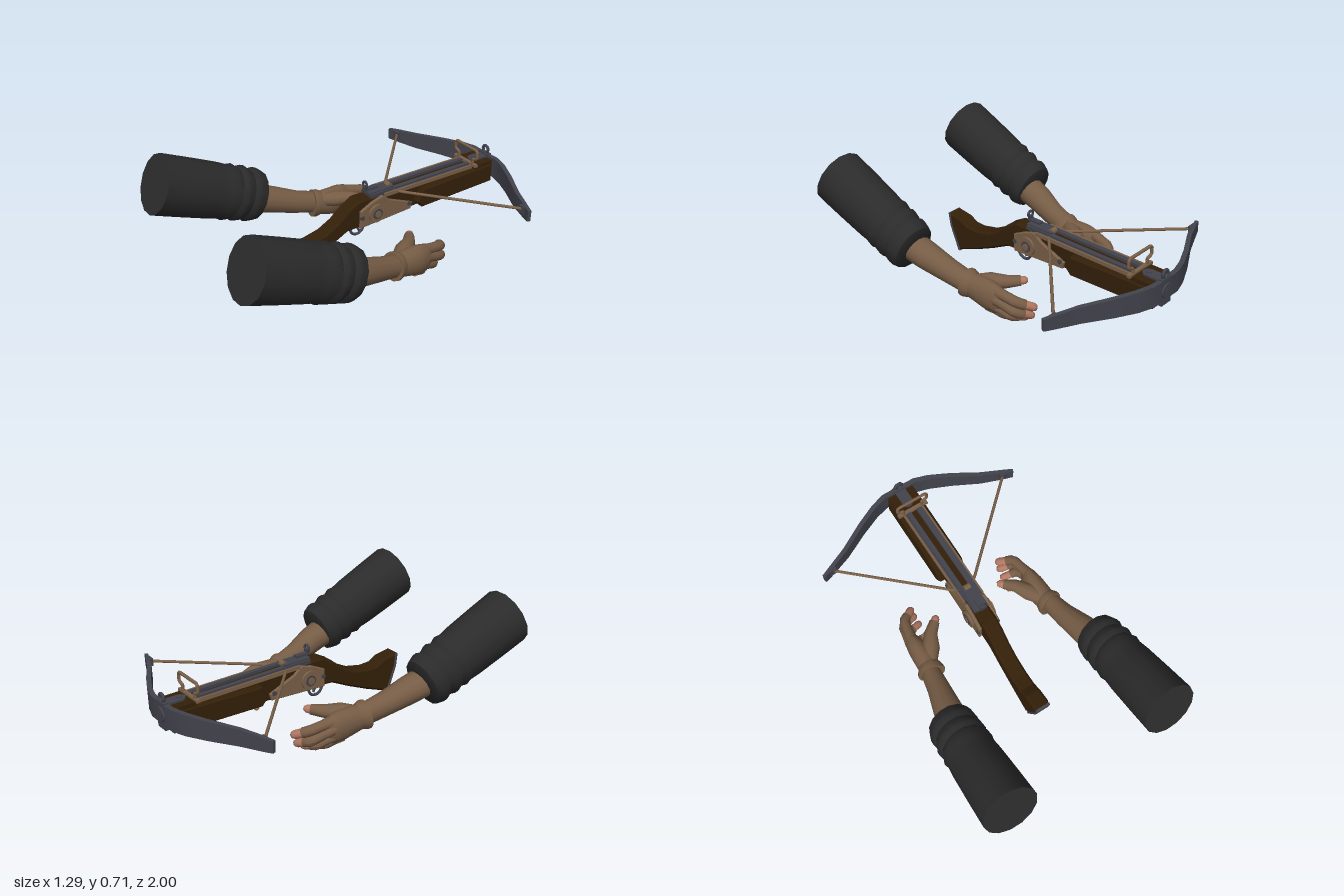
import * as THREE from 'three';
import { toCreasedNormals } from 'three/addons/utils/BufferGeometryUtils.js';

const V = (x, y, z) => new THREE.Vector3(x, y, z);

// Capped tube through sections [x, y, z, halfWidth, halfHeight]
function loft(sections, sides = 12, crease = 0.8) {
  const pos = [], idx = [], n = sections.length;
  const pts = sections.map((s) => V(s[0], s[1], s[2]));
  const turn = sides === 4 ? Math.PI / 4 : 0, grow = sides === 4 ? Math.SQRT2 : 1;
  pts.forEach((p, i) => {
    const t = pts[Math.min(i + 1, n - 1)].clone().sub(pts[Math.max(i - 1, 0)]).normalize();
    const side = V(0, 1, 0).cross(t).normalize(), up = t.clone().cross(side);
    for (let j = 0; j < sides; j++) {
      const a = turn + (j / sides) * Math.PI * 2;
      pos.push(...p.clone()
        .addScaledVector(side, Math.cos(a) * sections[i][3] * grow)
        .addScaledVector(up, Math.sin(a) * sections[i][4] * grow).toArray());
    }
  });
  pos.push(...pts[0].toArray(), ...pts[n - 1].toArray());
  const last = (n - 1) * sides, c0 = n * sides;
  for (let j = 0; j < sides; j++) {
    const k = (j + 1) % sides;
    for (let i = 0; i < n - 1; i++) {
      const a = i * sides, b = a + sides;
      idx.push(a + j, a + k, b + k, a + j, b + k, b + j);
    }
    idx.push(c0, k, j, c0 + 1, last + j, last + k);
  }
  const g = new THREE.BufferGeometry();
  g.setAttribute('position', new THREE.Float32BufferAttribute(pos, 3));
  g.setIndex(idx);
  return toCreasedNormals(g, crease);
}

// Side profile of [z, y] points, extruded across x
function profile(points, width, bevel = 0.008) {
  const g = new THREE.ExtrudeGeometry(new THREE.Shape(points.map((p) => new THREE.Vector2(...p))), {
    depth: width - 2 * bevel, bevelEnabled: true, bevelSize: bevel, bevelThickness: bevel,
    bevelOffset: -bevel, bevelSegments: 1,
  });
  return g.translate(0, 0, bevel - width / 2).rotateY(-Math.PI / 2);
}

const box = (w, h, d, x, y, z) => new THREE.BoxGeometry(w, h, d).translate(x, y, z);

// Round bar along straight runs between points
function bar(points, r) {
  const path = new THREE.CurvePath();
  const v = points.map((p) => V(...p));
  for (let i = 0; i < v.length - 1; i++) path.add(new THREE.LineCurve3(v[i], v[i + 1]));
  return new THREE.TubeGeometry(path, (v.length - 1) * 8, r, 8, false);
}

export function createModel() {
  const mat = (name, color) => new THREE.MeshStandardMaterial({ name, color });
  const cloth = mat('sleeveCloth', 0x2b2b2b), leather = mat('leather', 0x765c45);
  const skin = mat('skin', 0xb47a64), wood = mat('wood', 0x342009);
  const metal = mat('steel', 0x42434c), tan = mat('bronze', 0x7a6048);
  const model = new THREE.Group();
  const add = (parent, name, geometry, material) => {
    const m = new THREE.Mesh(geometry, material);
    m.name = name;
    parent.add(m);
    return m;
  };

  // Arms: s mirrors x
  function arm(name, s, dy, dz) {
    const g = new THREE.Group();
    g.name = name;
    const part = (label, rows, material, sides) =>
      add(g, label, loft(rows.map(([x, y, z, a, b]) => [s * x, y, z, a, b]), sides), material);

    // Sleeve with gathered folds towards the cuff
    const folds = [[0, 0.108], [0.012, 0.125], [0.07, 0.137], [0.11, 0.139], [0.145, 0.128], [0.2, 0.142],
      [0.235, 0.143], [0.27, 0.132], [0.33, 0.146], [0.38, 0.139], [0.48, 0.145], [0.75, 0.152], [1, 0.157]];
    part('sleeve', folds.map(([t, r]) =>
      [0.478 + 0.012 * t, 0.287 + 0.242 * t, 0.328 + 0.607 * t, r, r * (1.14 - 0.06 * t)]), cloth, 14);
    part('forearm', [[0.455, 0.28, 0.35, 0.085, 0.08], [0.445, 0.255, 0.26, 0.081, 0.077],
      [0.418, 0.207, 0.12, 0.064, 0.068], [0.4, 0.175, -0.01, 0.054, 0.064]], leather, 14);

    // Fingerless glove
    part('gloveCuff', [[0.398, 0.174, 0.014, 0.078, 0.081], [0.394, 0.171, -0.006, 0.077, 0.083],
      [0.388, 0.166, -0.032, 0.064, 0.074]], leather, 14);
    part('palm', [[0.392, 0.168, -0.02, 0.06, 0.07], [0.386, 0.162, -0.08, 0.064, 0.08],
      [0.388, 0.155, -0.15, 0.058, 0.09], [0.39, 0.15, -0.21, 0.045, 0.084],
      [0.388, 0.148, -0.243, 0.026, 0.064]], leather, 14);
    part('thumbBase', [[0.38, 0.185, -0.03, 0.035, 0.04], [0.33, 0.198, -0.11, 0.052, 0.047],
      [0.283, 0.203, -0.183, 0.037, 0.036], [0.23, 0.205, -0.228, 0.029, 0.029]], leather, 10);
    part('thumbTip', [[0.235, 0.205, -0.225, 0.025, 0.025], [0.212, 0.206, -0.243, 0.022, 0.022],
      [0.2, 0.206, -0.25, 0.011, 0.011]], skin, 10);

    // Curled fingers: knuckle, middle joint, tip
    const fingers = {
      index: [V(0.392, 0.2, -0.2), V(0.37, 0.175, -0.335), V(0.285, 0.13, -0.395), 0.028],
      middle: [V(0.405, 0.162, -0.2), V(0.38, 0.12, -0.335), V(0.28, 0.072, -0.37), 0.028],
      ring: [V(0.405, 0.12, -0.18), V(0.373, 0.078, -0.295), V(0.275, 0.042, -0.325), 0.026],
      little: [V(0.395, 0.09, -0.14), V(0.352, 0.047, -0.23), V(0.268, 0.025, -0.25), 0.0235],
    };
    for (const [label, [a, b, c, r]] of Object.entries(fingers)) {
      const at = (p, q, t, k) => [...p.clone().lerp(q, t).toArray(), r * k, r * k];
      part(label + 'FingerGlove', [at(a, b, 0, 1.2), at(a, b, 0.5, 1.05), at(a, b, 0.88, 1.08),
        at(b, c, 0.12, 1.05), at(b, c, 0.38, 1)], leather, 10);
      part(label + 'Fingertip', [at(b, c, 0.35, 0.88), at(b, c, 0.8, 0.85), at(b, c, 0.94, 0.65),
        at(b, c, 1, 0.3)], skin, 10);
    }
    g.position.set(0, dy, dz);
    model.add(g);
  }
  arm('leftArm', 1, 0, 0);
  arm('rightArm', -1, 0.035, -0.008);

  // Crossbow, rolled slightly about its long axis
  const bow = new THREE.Group();
  bow.name = 'crossbow';
  const roll = -0.03, axis = 0.37;
  bow.rotation.z = roll;
  bow.position.set(axis * Math.sin(roll), axis * (1 - Math.cos(roll)), 0);
  model.add(bow);

  // Wooden stock, butt plate and wide fore-end
  add(bow, 'stock', profile([[-0.96, 0.4], [-0.02, 0.405], [0.05, 0.365], [0.12, 0.305], [0.2, 0.262],
    [0.3, 0.24], [0.37, 0.242], [0.42, 0.27], [0.515, 0.282], [0.505, 0.2], [0.447, 0.055], [0.3, 0.112],
    [0.17, 0.17], [0.05, 0.23], [-0.3, 0.25], [-0.96, 0.28]].reverse(), 0.092, 0.012), wood);
  add(bow, 'buttPlate', profile([[0.445, 0.05], [0.459, 0.05], [0.516, 0.198], [0.527, 0.275],
    [0.513, 0.283], [0.502, 0.2]], 0.086, 0.003), metal);
  add(bow, 'foreEnd', profile([[-0.965, 0.275], [-0.44, 0.257], [-0.4, 0.3], [-0.44, 0.372],
    [-0.965, 0.392]], 0.172), wood);
  add(bow, 'frontBlock', box(0.16, 0.03, 0.13, 0, 0.395, -0.895), wood);

  // Bolt rails, lock and rear sight
  for (const s of [-1, 1]) {
    add(bow, 'rail', box(0.026, 0.03, 0.72, s * 0.031, 0.403, -0.46), metal);
    add(bow, 'railEdge', box(0.01, 0.02, 0.62, s * 0.05, 0.4, -0.5), metal);
  }
  add(bow, 'lock', box(0.07, 0.026, 0.17, 0, 0.413, -0.18), metal);
  add(bow, 'nut', new THREE.CylinderGeometry(0.018, 0.018, 0.036, 12).rotateZ(Math.PI / 2).translate(0, 0.42, -0.25), tan);
  add(bow, 'sightBase', box(0.03, 0.012, 0.085, 0, 0.438, -0.125), metal);
  add(bow, 'sightPost', box(0.03, 0.03, 0.014, 0, 0.445, -0.09), metal);
  add(bow, 'sightRing', new THREE.TorusGeometry(0.018, 0.007, 8, 18).translate(0, 0.468, -0.09), metal);

  // Side plates with round pivots and rivets
  const plate = [[-0.02, 0.24], [-0.37, 0.262], [-0.38, 0.3], [-0.22, 0.365], [-0.17, 0.405], [-0.1, 0.385],
    [-0.02, 0.345]].reverse();
  for (const s of [-1, 1]) {
    add(bow, 'sidePlate', profile(plate, 0.02, 0.004).translate(s * 0.056, 0, 0), tan);
    const disc = (name, r, h, x, y, z, m) =>
      add(bow, name, new THREE.CylinderGeometry(r, r, h, 20).rotateZ(Math.PI / 2).translate(s * x, y, z), m);
    disc('pivotDisc', 0.054, 0.016, 0.071, 0.31, -0.125, tan);
    disc('pivotRing', 0.031, 0.016, 0.076, 0.31, -0.125, metal);
    disc('pivotBolt', 0.02, 0.016, 0.081, 0.31, -0.125, tan);
    disc('rivet', 0.013, 0.01, 0.066, 0.305, -0.03, metal);
    disc('rivet', 0.013, 0.01, 0.066, 0.3, -0.355, metal);
    add(bow, 'leverBar', box(0.01, 0.022, 0.64, s * 0.06, 0.402, -0.5), tan);
  }

  // Folding loop above the fore-end
  const z = -0.825;
  add(bow, 'loop', bar([[-0.06, 0.4, z], [-0.06, 0.448, z], [-0.088, 0.456, z], [-0.095, 0.466, z],
    [-0.095, 0.5, z], [-0.083, 0.511, z], [0.083, 0.511, z], [0.095, 0.5, z], [0.095, 0.466, z],
    [0.088, 0.456, z], [0.06, 0.448, z], [0.06, 0.4, z]], 0.009), tan);
  add(bow, 'loopBase', box(0.19, 0.016, 0.022, 0, 0.413, z), tan);

  // Steel bow: half profile [x, z, half thickness, half height], mirrored
  const limb = [[0, -0.978, 0.014, 0.056], [0.1, -0.975, 0.014, 0.06], [0.18, -0.951, 0.013, 0.059],
    [0.3, -0.895, 0.013, 0.053], [0.45, -0.812, 0.012, 0.046], [0.57, -0.762, 0.011, 0.038], [0.63, -0.738, 0.01, 0.032]];
  const rows = [...limb.slice(1).reverse().map(([x, ...r]) => [-x, ...r]), ...limb];
  add(bow, 'bowLimbs', loft(rows.map(([x, zz, a, b]) => [x, 0.365, zz, a, b]), 4, 0.6), metal);
  for (const s of [-1, 1]) {
    add(bow, 'stringHook', box(0.045, 0.045, 0.022, s * 0.57, 0.375, -0.75), metal);
    add(bow, 'string', bar([[s * 0.565, 0.378, -0.748], [s * 0.05, 0.4, -0.265], [0, 0.42, -0.25]], 0.0085), tan);
  }

  // Front bracket, boss, eye and top strap
  add(bow, 'bracket', box(0.075, 0.15, 0.03, 0, 0.355, -0.976), metal);
  add(bow, 'boss', new THREE.CylinderGeometry(0.04, 0.044, 0.014, 20).rotateX(-Math.PI / 2).translate(0, 0.36, -0.991), metal);
  add(bow, 'bossBolt', new THREE.CylinderGeometry(0.018, 0.018, 0.012, 12).rotateX(Math.PI / 2).translate(0, 0.36, -0.994), metal);
  add(bow, 'eyeRing', new THREE.TorusGeometry(0.021, 0.009, 8, 18).translate(0, 0.448, -0.978), metal);
  add(bow, 'topStrap', box(0.064, 0.012, 0.095, 0, 0.414, -0.925), metal);
  add(bow, 'strapEnd', new THREE.CylinderGeometry(0.032, 0.032, 0.012, 18).translate(0, 0.414, -0.88), metal);
  add(bow, 'strapBolt', new THREE.CylinderGeometry(0.014, 0.014, 0.01, 12).translate(0, 0.42, -0.88), metal);

  // Trigger and guard
  add(bow, 'triggerGuard', new THREE.TorusGeometry(0.045, 0.008, 8, 24).rotateY(Math.PI / 2).translate(0, 0.215, -0.04), metal);
  add(bow, 'trigger', bar([[0, 0.25, -0.045], [0, 0.215, -0.04], [0, 0.19, -0.055]], 0.007), metal);
  return model;
}
